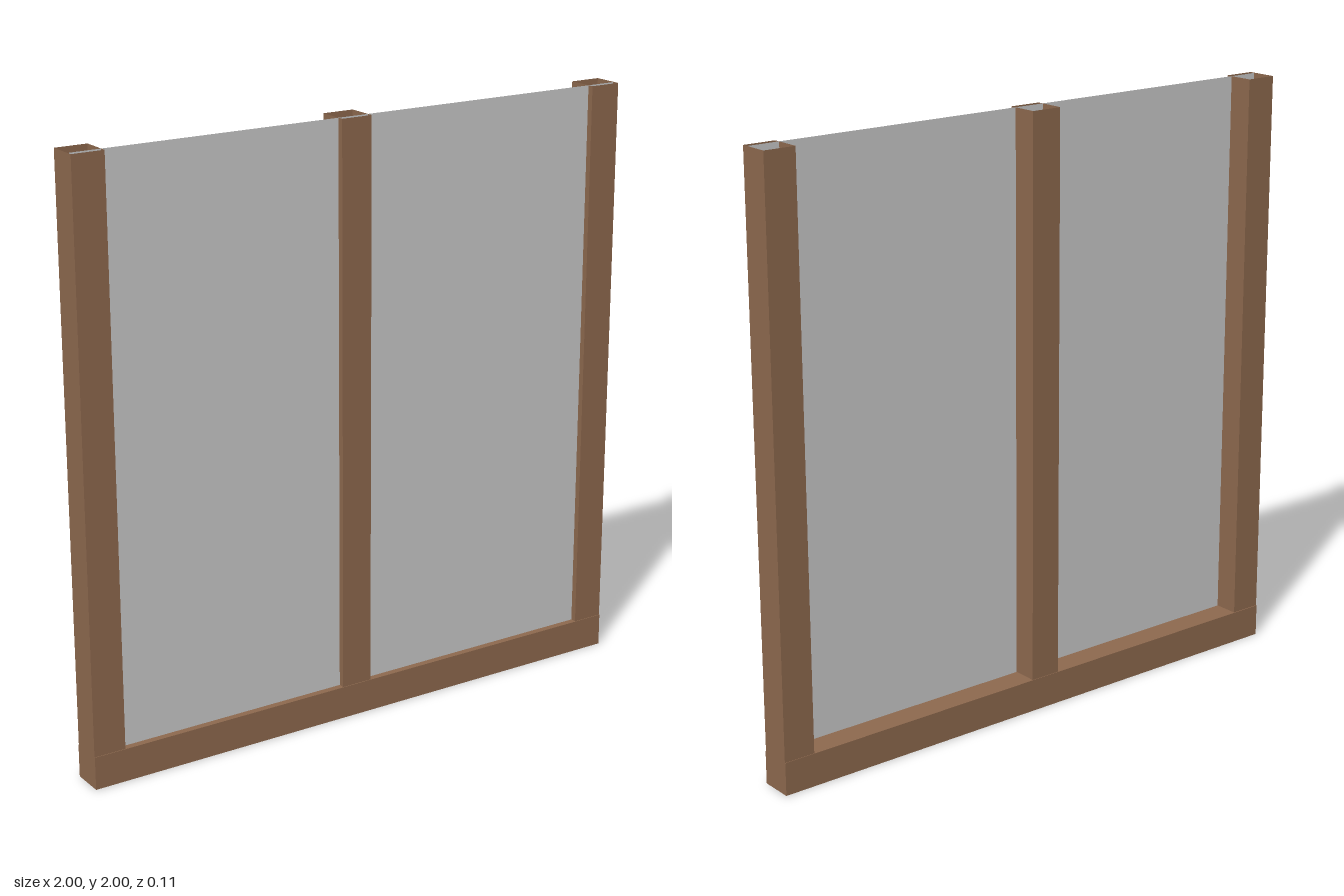
import * as THREE from 'three';

const wood = new THREE.MeshStandardMaterial({ color: 0x8f6a4f, flatShading: true, side: THREE.DoubleSide });
const glass = new THREE.MeshStandardMaterial({ color: 0xcccccc, side: THREE.DoubleSide });

const SILL_HEIGHT = 0.11;
const POST_WIDTH = 0.108;
const DEPTH = 0.105;

// Hollow square tube, open at both ends, standing on the sill
function makePost(name, x) {
  const height = 2 - SILL_HEIGHT;
  const tube = new THREE.CylinderGeometry(Math.SQRT1_2, Math.SQRT1_2, height, 4, 1, true);
  tube.rotateY(Math.PI / 4);
  tube.scale(POST_WIDTH, 1, DEPTH);
  const post = new THREE.Mesh(tube, wood);
  post.name = name;
  post.position.set(x, SILL_HEIGHT + height / 2, 0);
  return post;
}

export function createModel() {
  const group = new THREE.Group();
  group.name = 'windowFrame';

  // Bottom rail across the full width
  const sill = new THREE.Mesh(new THREE.BoxGeometry(2, SILL_HEIGHT, 0.11), wood);
  sill.name = 'sill';
  sill.position.y = SILL_HEIGHT / 2;
  group.add(sill);

  // Outer posts and the slightly offset middle post
  group.add(makePost('rightPost', -1 + POST_WIDTH / 2));
  group.add(makePost('middlePost', -0.028));
  group.add(makePost('leftPost', 1 - POST_WIDTH / 2));

  // One thin sheet running through the posts, close to the front
  const pane = new THREE.Mesh(new THREE.PlaneGeometry(1.99, 2), glass);
  pane.name = 'pane';
  pane.position.set(0, 1, 0.032);
  group.add(pane);

  return group;
}
